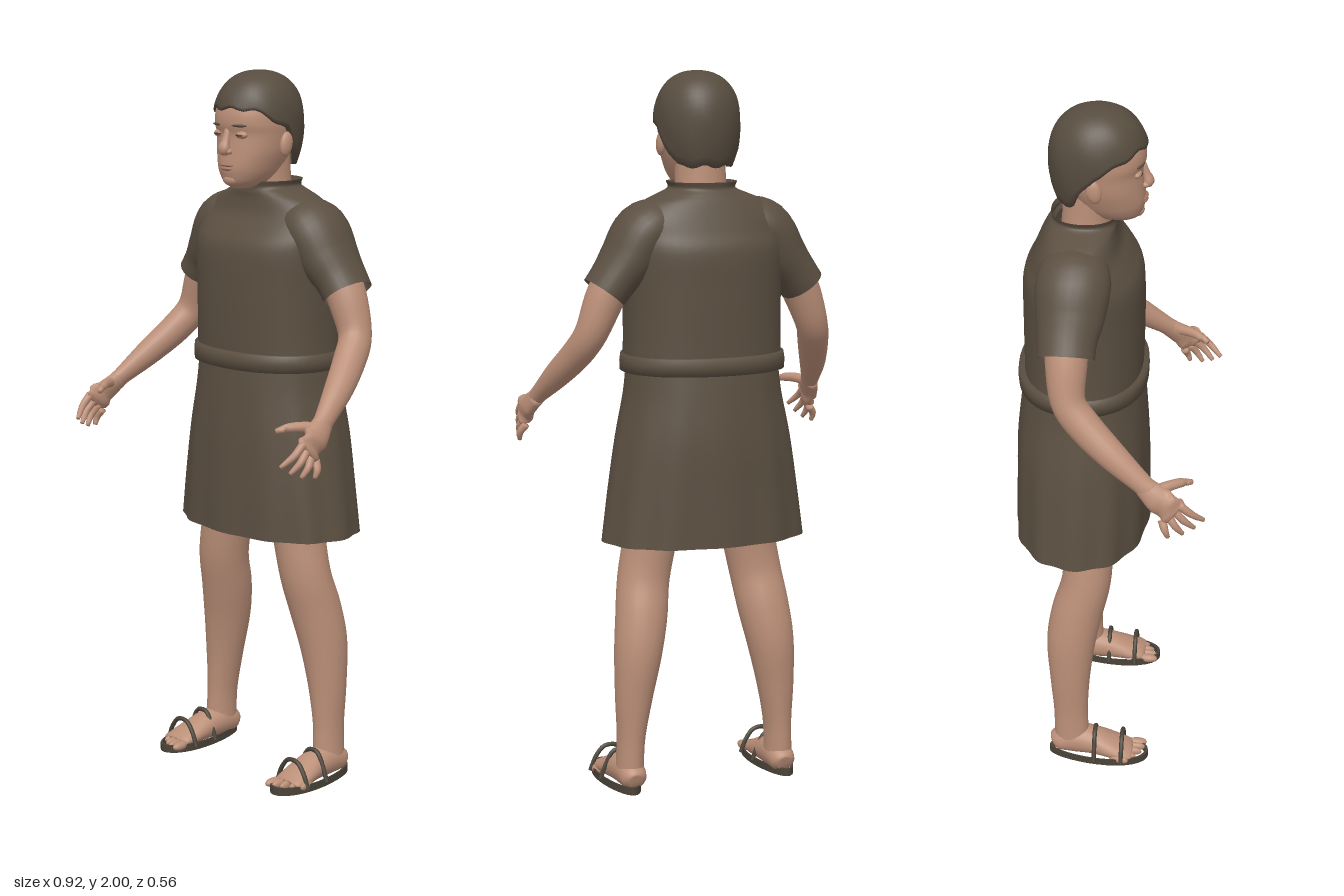
import * as THREE from 'three';

const mat = (name, color, side = THREE.FrontSide) => {
  const m = new THREE.MeshStandardMaterial({ color, side });
  m.name = name;
  return m;
};

// Smooth skin over a path of [x, y, z, radiusU, radiusW] stations.
// flat keeps the rings horizontal (stations go upward); shape(a, t) scales each ring point.
function loft(stations, { n = 24, steps = 24, flat = false, power = 2, cap = false, shape = () => 1 } = {}) {
  const spline = f => new THREE.CatmullRomCurve3(stations.map(f), false, 'catmullrom', 0.5);
  const path = spline(p => new THREE.Vector3(p[0], p[1], p[2]));
  const radii = spline(p => new THREE.Vector3(p[3], p[4], 0));
  const pos = [], idx = [];
  const bend = v => Math.sign(v) * Math.abs(v) ** (2 / power);
  for (let i = 0; i <= steps; i++) {
    const t = i / steps, c = path.getPoint(t), r = radii.getPoint(t);
    const T = flat ? new THREE.Vector3(0, 1, 0) : path.getTangent(t);
    const W = Math.abs(T.z) > 0.8 ? new THREE.Vector3(0, 1, 0) : new THREE.Vector3(0, 0, 1);
    W.addScaledVector(T, -W.dot(T)).normalize();
    const U = new THREE.Vector3().crossVectors(T, W);
    for (let j = 0; j < n; j++) {
      const a = j / n * Math.PI * 2, k = shape(a, t);
      const p = c.clone().addScaledVector(U, r.x * k * bend(Math.sin(a)))
        .addScaledVector(W, r.y * k * bend(Math.cos(a)));
      pos.push(p.x, p.y, p.z);
      if (i < steps) {
        const q = i * n + j, e = i * n + (j + 1) % n;
        idx.push(q, e, e + n, q, e + n, q + n);
      }
    }
  }
  if (cap) {
    for (const end of [0, 1]) {
      const c = path.getPoint(end), m = pos.length / 3, b = end * steps * n;
      pos.push(c.x, c.y, c.z);
      for (let j = 0; j < n; j++) {
        const q = b + j, e = b + (j + 1) % n;
        idx.push(...(end ? [q, e, m] : [e, q, m]));
      }
    }
  }
  return toGeometry(pos, idx);
}

function toGeometry(pos, idx) {
  const g = new THREE.BufferGeometry();
  g.setAttribute('position', new THREE.Float32BufferAttribute(pos, 3));
  g.setIndex(idx);
  g.computeVertexNormals();
  return g;
}

// Stations from [y, front z, back z, half width]
const body = rows => rows.map(([y, f, b, rx]) => [0, y, (f + b) / 2, rx, (f - b) / 2]);

// Cap of hair whose lower edge drops from the brow to the nape
function hairGeometry() {
  const n = 48, rows = 18, pos = [], idx = [];
  for (let i = 0; i <= rows; i++) {
    for (let j = 0; j < n; j++) {
      const a = j / n * Math.PI * 2, c = Math.cos(a);
      const low = (c > 0 ? 1.845 + 0.055 * Math.min(1, c * 1.3) : 1.845 - 0.1 * Math.min(1, -c * 1.6))
        + 0.005 * Math.sin(a * 9);
      const t = Math.max(0, i - 1) / (rows - 1);
      const y = low + (2 - low) * Math.sin(t * Math.PI / 2);
      const h = (y - 1.86) / 0.14;
      let s = h > 0 ? Math.max(0, 1 - h ** 2.3) ** (1 / 2.3) : 1 - 0.22 * h * h;
      s *= 1 + 0.012 * Math.sin(a * 7 + y * 40) * (1 - t);
      if (i === 0) s *= 0.86;
      pos.push(0.117 * s * Math.sin(a), y, -0.042 + 0.132 * s * c);
      if (i < rows) {
        const q = i * n + j, e = i * n + (j + 1) % n;
        idx.push(q, e, e + n, q, e + n, q + n);
      }
    }
  }
  return toGeometry(pos, idx);
}

export function createModel() {
  const skin = mat('skin', 0xbb8f78);
  const cloth = mat('cloth', 0x5b4f41, THREE.DoubleSide);
  const hair = mat('hair', 0x574c3f, THREE.DoubleSide);
  const leather = mat('leather', 0x4a4338);
  const lip = mat('lips', 0xa47662);
  const dark = mat('eyes', 0x4a3a30);
  const model = new THREE.Group();
  const add = (name, geo, material) => {
    const m = new THREE.Mesh(geo, material);
    m.name = name;
    model.add(m);
    return m;
  };
  const blob = (name, material, x, y, z, sx, sy, sz) => {
    const m = add(name, new THREE.SphereGeometry(1, 16, 12), material);
    m.position.set(x, y, z);
    m.scale.set(sx, sy, sz);
    return m;
  };

  // Head and neck
  add('head', loft(body([
    [1.683, 0.05, -0.03, 0.022], [1.698, 0.07, -0.06, 0.05], [1.72, 0.079, -0.09, 0.068],
    [1.745, 0.083, -0.11, 0.08], [1.785, 0.08, -0.13, 0.094], [1.83, 0.077, -0.145, 0.101],
    [1.86, 0.084, -0.15, 0.104], [1.9, 0.08, -0.15, 0.1], [1.95, 0.055, -0.13, 0.08], [1.98, 0, -0.08, 0.03],
  ]), { n: 32, steps: 36, flat: true, power: 2.15, cap: true }), skin);
  add('neck', loft(body([[1.6, 0, -0.15, 0.085], [1.68, -0.005, -0.14, 0.072], [1.77, 0.01, -0.135, 0.07]]),
    { flat: true, steps: 8 }), skin);
  add('hair', hairGeometry(), hair);
  add('nose', loft([[0, 1.845, 0.074, 0.009, 0.008], [0, 1.815, 0.083, 0.012, 0.01],
    [0, 1.792, 0.09, 0.018, 0.015], [0, 1.779, 0.082, 0.012, 0.008]], { n: 14, steps: 10, cap: true }), skin);
  blob('upperLip', lip, 0, 1.749, 0.079, 0.026, 0.005, 0.011);
  blob('lowerLip', lip, 0, 1.739, 0.078, 0.021, 0.006, 0.011);
  blob('chin', skin, 0, 1.708, 0.06, 0.028, 0.018, 0.02);

  // Tunic, belt and skirt
  add('tunic', loft(body([
    [1.215, 0.08, -0.245, 0.222], [1.3, 0.082, -0.245, 0.22], [1.42, 0.083, -0.245, 0.222],
    [1.52, 0.078, -0.243, 0.228], [1.57, 0.05, -0.222, 0.228], [1.61, 0.02, -0.205, 0.215],
    [1.65, 0.01, -0.187, 0.17], [1.67, 0.01, -0.175, 0.125], [1.685, 0.01, -0.165, 0.092], [1.703, 0.014, -0.168, 0.096],
  ]), { n: 48, steps: 45, flat: true, power: 2.25 }), cloth);
  add('belt', loft(body([
    [1.188, 0.075, -0.24, 0.21], [1.19, 0.095, -0.262, 0.23], [1.215, 0.096, -0.264, 0.231],
    [1.236, 0.095, -0.262, 0.228], [1.238, 0.075, -0.24, 0.215],
  ]), { n: 48, steps: 4, flat: true, power: 2.2 }), cloth);
  add('skirt', loft(body([
    [0.72, 0.1, -0.277, 0.29], [0.85, 0.1, -0.274, 0.272], [1.0, 0.097, -0.27, 0.248],
    [1.12, 0.09, -0.258, 0.223], [1.2, 0.084, -0.248, 0.213],
  ]), { n: 96, steps: 16, flat: true, power: 2.2, shape: (a, t) => 1 + 0.016 * (1 - t) * Math.cos(12 * a) }), cloth);

  for (const s of [1, -1]) {
    const side = s > 0 ? 'left' : 'right';
    const mirror = rows => rows.map(([x, ...r]) => [x * s, ...r]);
    const limb = (name, rows, opt, material = skin) => add(side + name, loft(mirror(rows), opt), material);

    // Face details
    blob(side + 'Ear', skin, s * 0.105, 1.805, -0.045, 0.013, 0.034, 0.021).rotation.x = -0.2;
    blob(side + 'EyeLid', skin, s * 0.042, 1.832, 0.063, 0.021, 0.011, 0.013);
    blob(side + 'Eye', dark, s * 0.042, 1.831, 0.07, 0.015, 0.0035, 0.0075);
    blob(side + 'Brow', hair, s * 0.043, 1.857, 0.073, 0.024, 0.004, 0.006).rotation.y = s * 0.3;
    blob(side + 'Nostril', skin, s * 0.013, 1.786, 0.082, 0.009, 0.008, 0.011);

    // Sleeve and arm
    limb('Sleeve', [[0.1, 1.61, -0.09, 0.055, 0.08], [0.17, 1.575, -0.092, 0.078, 0.1], [0.22, 1.5, -0.096, 0.075, 0.092],
      [0.26, 1.45, -0.1, 0.065, 0.08], [0.29, 1.41, -0.1, 0.062, 0.076]], { n: 28, steps: 20 }, cloth);
    limb('Arm', [[0.25, 1.47, -0.1, 0.055, 0.06], [0.29, 1.39, -0.1, 0.053, 0.056], [0.325, 1.3, -0.092, 0.045, 0.047],
      [0.35, 1.24, -0.045, 0.042, 0.046], [0.382, 1.175, 0.03, 0.036, 0.04], [0.41, 1.112, 0.11, 0.024, 0.029],
      [0.416, 1.095, 0.13, 0.021, 0.031]], { n: 20, steps: 28 });

    // Hand with four fingers and a thumb
    limb('Palm', [[0.412, 1.106, 0.115, 0.021, 0.028], [0.425, 1.075, 0.155, 0.021, 0.038],
      [0.434, 1.05, 0.19, 0.016, 0.042], [0.437, 1.04, 0.203, 0.009, 0.036]], { n: 16, steps: 10, cap: true });
    for (let i = 0; i < 4; i++) {
      const f = i / 3, reach = [0, 0.006, 0.006, -0.002][i];
      const from = [0.434, 1.065 - 0.05 * f, 0.212 - 0.045 * f];
      const to = [0.413 + 0.035 * f, 1.008 - 0.04 * f - reach, 0.276 - 0.09 * f + reach];
      const mid = from.map((v, k) => (v + to[k]) / 2 + (k === 0 ? 0.008 : 0));
      limb('Finger' + (i + 1), [[...from, 0.011, 0.012], [...mid, 0.01, 0.01], [...to, 0.006, 0.006]],
        { n: 10, steps: 8, cap: true });
    }
    limb('Thumb', [[0.418, 1.095, 0.145, 0.016, 0.016], [0.395, 1.1, 0.185, 0.014, 0.014],
      [0.375, 1.098, 0.215, 0.012, 0.012], [0.358, 1.09, 0.24, 0.007, 0.007]], { n: 10, steps: 10, cap: true });

    // Leg and foot
    limb('Leg', [[0.11, 0.92, -0.06, 0.09, 0.08], [0.145, 0.72, -0.06, 0.077, 0.072], [0.168, 0.6, -0.065, 0.074, 0.07],
      [0.183, 0.5, -0.09, 0.073, 0.073], [0.199, 0.4, -0.107, 0.067, 0.07], [0.213, 0.28, -0.11, 0.053, 0.058],
      [0.221, 0.17, -0.108, 0.04, 0.05], [0.224, 0.1, -0.106, 0.038, 0.05], [0.225, 0.05, -0.105, 0.04, 0.05]],
      { n: 24, steps: 36 });
    limb('Foot', [[0.225, 0.042, -0.16, 0.02, 0.022], [0.225, 0.048, -0.145, 0.036, 0.034], [0.225, 0.058, -0.1, 0.042, 0.046],
      [0.227, 0.053, -0.04, 0.044, 0.041], [0.232, 0.04, 0.02, 0.05, 0.028], [0.235, 0.032, 0.06, 0.048, 0.018],
      [0.235, 0.028, 0.072, 0.04, 0.012]], { n: 20, steps: 20, cap: true });
    for (let i = 0; i < 5; i++) {
      blob(side + 'Toe' + (i + 1), skin, s * (0.197 + 0.0205 * i), 0.027, 0.085 - 0.003 * i * i,
        i ? 0.0095 : 0.014, 0.013, 0.03).rotation.y = s * 0.08 * (i - 1);
    }

    // Sandal: thin rim, underside and two arched straps
    const outline = k => Array.from({ length: 32 }, (_, j) => {
      const a = j / 32 * Math.PI * 2, c = Math.cos(a);
      return new THREE.Vector2(s * 0.232 + k * (0.055 + 0.012 * c) * Math.sin(a), -0.025 + k * 0.146 * c);
    });
    const flip = pts => pts.map(p => new THREE.Vector2(p.x, -p.y));
    const rim = new THREE.Shape(flip(outline(1)));
    rim.holes.push(new THREE.Path(flip(outline(0.94))));
    add(side + 'SandalRim', new THREE.ExtrudeGeometry(rim, { depth: 0.022, bevelEnabled: false })
      .rotateX(-Math.PI / 2).translate(0, 0.008, 0), leather);
    const under = new THREE.Shape(outline(0.98));
    under.holes.push(new THREE.Path(outline(0.62)));
    add(side + 'SandalSole', new THREE.ShapeGeometry(under).rotateX(Math.PI / 2), leather);
    for (const [z, w, h] of [[0.045, 0.06, 0.088], [-0.035, 0.056, 0.098]]) {
      const arch = [[-1, 0.02], [-0.72, 0.06], [-0.3, h], [0.3, h], [0.72, 0.06], [1, 0.02]]
        .map(([u, y]) => new THREE.Vector3(s * 0.232 + u * w, y, z));
      add(side + 'SandalStrap', new THREE.TubeGeometry(new THREE.CatmullRomCurve3(arch), 24, 0.0065, 8), leather);
    }
  }
  return model;
}
